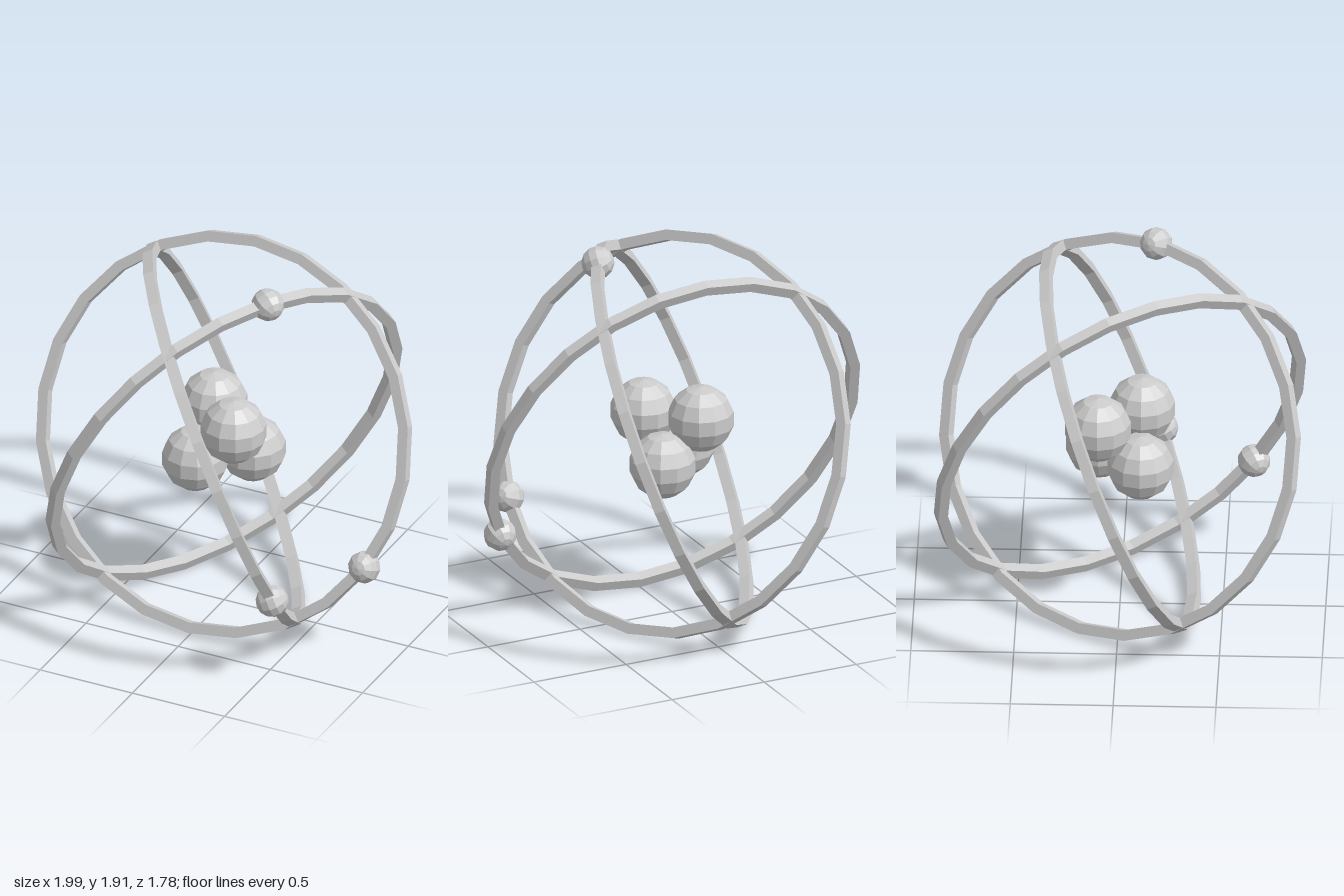
import * as THREE from 'three';

const CENTRE_Y = 0.933;
const ORBIT_RADIUS = 0.969;
const HALF_WIDTH = 0.026;
const TILT = THREE.MathUtils.degToRad(68.2);

export function createModel() {
  const model = new THREE.Group();
  model.name = 'atom';
  const material = new THREE.MeshStandardMaterial({ color: 0xcccccc, flatShading: true });

  const addMesh = (parent, name, geometry, x, y, z) => {
    const mesh = new THREE.Mesh(geometry, material);
    mesh.name = name;
    mesh.position.set(x, y, z);
    parent.add(mesh);
    return mesh;
  };

  // Nucleus: four balls in a tetrahedral cluster
  const nucleus = new THREE.Group();
  nucleus.name = 'nucleus';
  nucleus.position.y = CENTRE_Y;
  model.add(nucleus);
  const ballGeometry = new THREE.SphereGeometry(0.165, 12, 7);
  const d = 0.104;
  for (const [x, y, z] of [[-d, d, -d], [d, d, d], [-d, -d, d], [d, -d, -d]]) {
    addMesh(nucleus, 'nucleusBall', ballGeometry, x, y, z);
  }

  // Square-section ring shared by the three orbits
  const inner = ORBIT_RADIUS - HALF_WIDTH;
  const outer = ORBIT_RADIUS + HALF_WIDTH;
  const section = [
    [outer, -HALF_WIDTH], [outer, HALF_WIDTH], [inner, HALF_WIDTH],
    [inner, -HALF_WIDTH], [outer, -HALF_WIDTH],
  ].map(([x, y]) => new THREE.Vector2(x, y));
  const ringGeometry = new THREE.LatheGeometry(section, 24);
  const electronGeometry = new THREE.SphereGeometry(0.081, 10, 7);

  // Orbits: same tilt, turned a third of a circle apart, one electron each
  const orbits = [
    { turn: 0, electronAngle: 29 },
    { turn: 120, electronAngle: 149.5 },
    { turn: -120, electronAngle: -91 },
  ];
  for (const { turn, electronAngle } of orbits) {
    const orbit = new THREE.Group();
    orbit.name = 'orbit';
    orbit.position.y = CENTRE_Y;
    orbit.rotation.order = 'YXZ';
    orbit.rotation.set(TILT, THREE.MathUtils.degToRad(turn), 0);
    model.add(orbit);

    addMesh(orbit, 'orbitRing', ringGeometry, 0, 0, 0);
    const a = THREE.MathUtils.degToRad(electronAngle);
    addMesh(orbit, 'electron', electronGeometry,
      ORBIT_RADIUS * Math.cos(a), 0, ORBIT_RADIUS * Math.sin(a));
  }

  return model;
}
